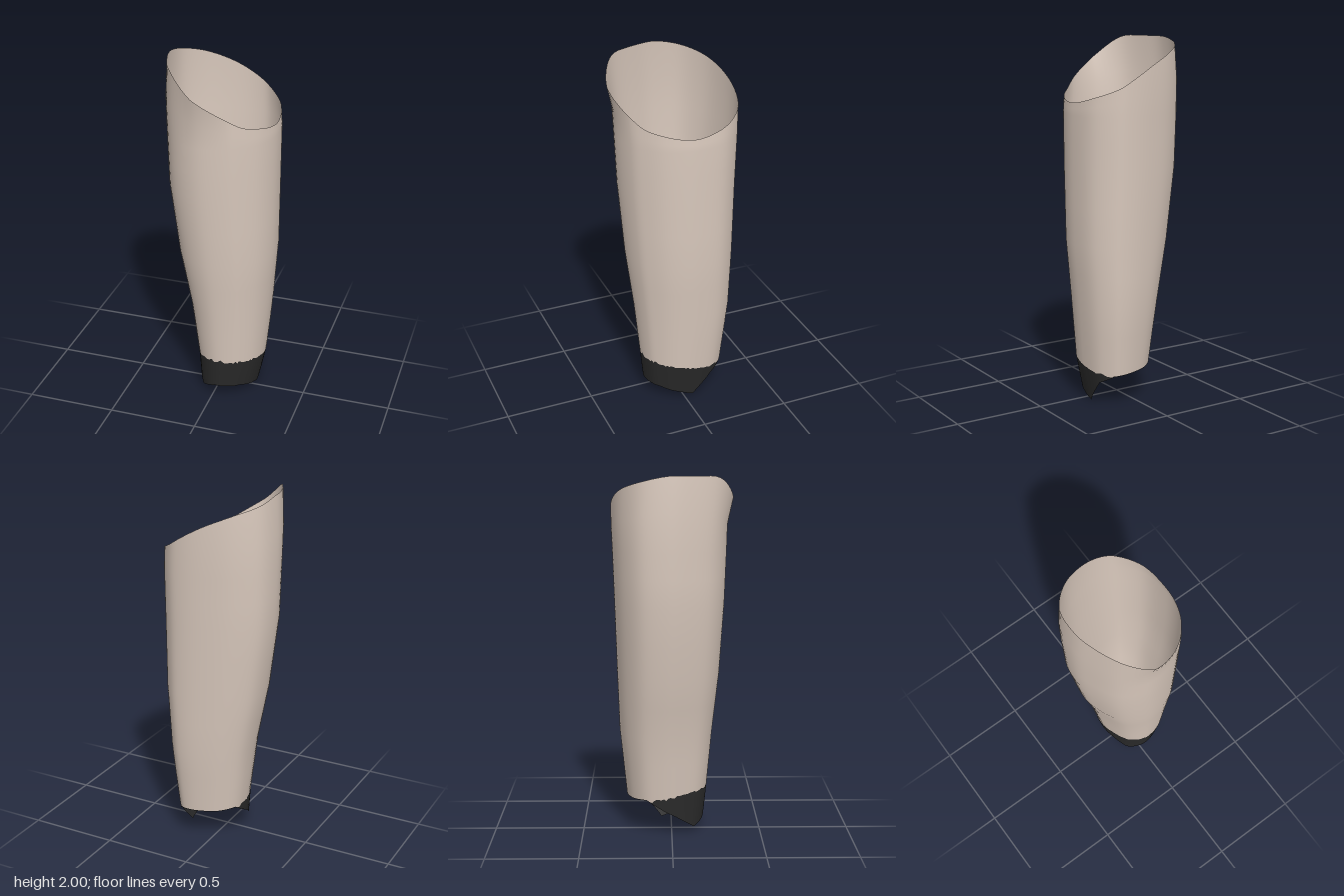
import * as THREE from 'three';

const COLUMNS = 90;

// Plan outline with rim height: x, rim y, z (front, -x side, back, +x side)
const RIM = [
  [-0.055, 1.88, 0.333], [-0.205, 1.99, 0.253], [-0.285, 2, 0.09], [-0.307, 2, -0.02], [-0.28, 1.97, -0.165],
  [-0.17, 1.93, -0.27], [-0.02, 1.87, -0.325], [0.11, 1.8, -0.335], [0.19, 1.75, -0.31], [0.28, 1.7, -0.2],
  [0.307, 1.665, -0.035], [0.295, 1.67, 0.07], [0.255, 1.69, 0.17], [0.19, 1.715, 0.25], [0.115, 1.77, 0.305],
];
// Height of the ragged lower edge at the same columns
const HEM = [0.07, 0.03, 0.1, 0.14, 0.2, 0.19, 0.185, 0.18, 0.175, 0.13, 0, 0.025, 0.045, 0.065, 0.07];

// Extents of the sleeve by height: y, min x, max x, min z, max z
const EXTENTS = [
  [0, -0.125, 0.205, -0.24, 0.17],
  [0.22, -0.14, 0.25, -0.257, 0.195],
  [0.56, -0.185, 0.277, -0.293, 0.225],
  [0.9, -0.25, 0.302, -0.305, 0.262],
  [1.3, -0.3, 0.305, -0.317, 0.287],
  [1.6, -0.307, 0.305, -0.327, 0.298],
  [1.75, -0.307, 0.293, -0.333, 0.302],
  [1.88, -0.305, 0.293, -0.333, 0.333],
  [2, -0.29, 0.293, -0.333, 0.333],
];

function extentsAt(y) {
  let i = 0;
  while (i < EXTENTS.length - 2 && y > EXTENTS[i + 1][0]) i++;
  const a = EXTENTS[i], b = EXTENTS[i + 1];
  const t = THREE.MathUtils.clamp((y - a[0]) / (b[0] - a[0]), 0, 1);
  return a.map((v, k) => THREE.MathUtils.lerp(v, b[k], t));
}

const rimCurve = new THREE.CatmullRomCurve3(RIM.map(p => new THREE.Vector3(...p)), true, 'centripetal');

// Point on the sleeve wall at a column and height
function wallPoint(column, y) {
  const [, x0, x1, z0, z1] = extentsAt(y);
  const u = (column.outline.x + 0.307) / 0.614;
  const w = (column.outline.z + 0.335) / 0.668;
  return [x0 + (x1 - x0) * u, y, z0 + (z1 - z0) * w];
}

function makeColumns() {
  let seed = 7;
  const random = () => (seed = (seed * 16807) % 2147483647) / 2147483647;
  return Array.from({ length: COLUMNS }, (_, i) => {
    const outline = rimCurve.getPoint(i / COLUMNS);
    const f = (i / COLUMNS) * HEM.length, k = Math.floor(f);
    const hem = THREE.MathUtils.lerp(HEM[k], HEM[(k + 1) % HEM.length], f - k);
    const column = { outline, hem, top: Math.min(outline.y, 2) };
    // Uneven colour edge, lower towards the back
    const z = wallPoint(column, 0.22)[2];
    column.edge = Math.max(0.215 + 0.18 * z + (random() - 0.5) * 0.018, hem + 0.003);
    return column;
  });
}

// Closed band of quads through the heights listed for each column
function makeBand(name, columns, heights, material) {
  const positions = [], indices = [];
  const rows = heights(columns[0]).length;
  columns.forEach((column, i) => {
    for (const y of heights(column)) positions.push(...wallPoint(column, y));
    for (let j = 0; j < rows - 1; j++) {
      const a = i * rows + j, b = ((i + 1) % columns.length) * rows + j;
      indices.push(a, a + 1, b, b, a + 1, b + 1);
    }
  });
  const geometry = new THREE.BufferGeometry();
  geometry.setAttribute('position', new THREE.Float32BufferAttribute(positions, 3));
  geometry.setIndex(indices);
  geometry.computeVertexNormals();
  const mesh = new THREE.Mesh(geometry, material);
  mesh.name = name;
  return mesh;
}

export function createModel() {
  const beige = new THREE.MeshStandardMaterial({ color: 0xd8c8bc, side: THREE.DoubleSide });
  beige.name = 'beige';
  const black = new THREE.MeshStandardMaterial({ color: 0x2a2a2a, side: THREE.DoubleSide });
  black.name = 'black';

  const columns = makeColumns();
  const group = new THREE.Group();
  group.name = 'sleeve';

  // Tapered open tube with a slanted rim
  group.add(makeBand('sleeveWall', columns, c => [
    c.edge, 0.4, 0.56, 0.73, 0.9, 1.1, 1.3, 1.45, 1.6,
    THREE.MathUtils.lerp(1.6, c.top, 0.5), c.top,
  ], beige));
  // Dark ragged cuff, notched at the back
  group.add(makeBand('cuff', columns, c => [c.hem, (c.hem + c.edge) / 2, c.edge], black));
  return group;
}
